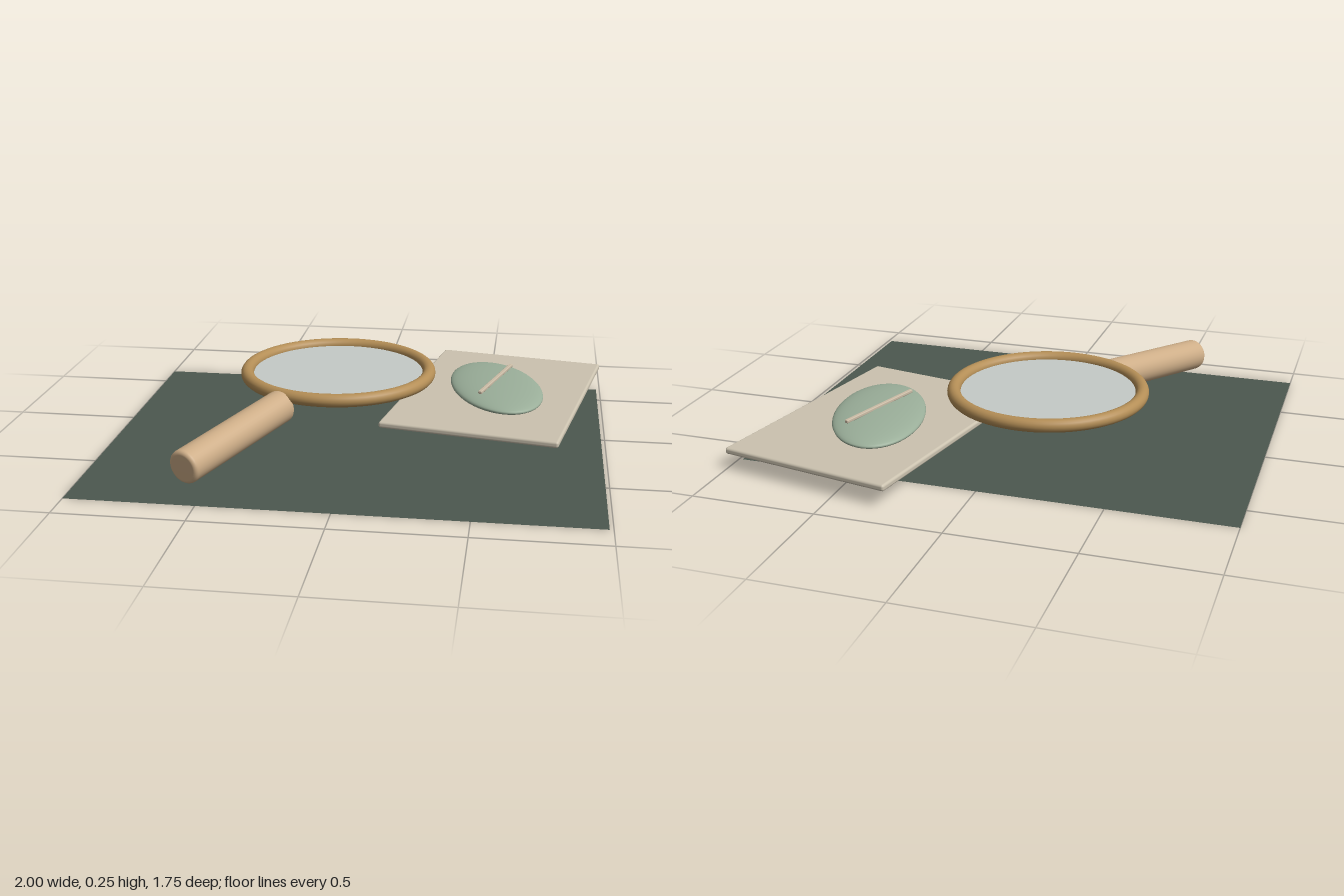
import * as THREE from 'three';
import { RoundedBoxGeometry } from 'three/addons/geometries/RoundedBoxGeometry.js';

const paint = (name, color, side = THREE.FrontSide) =>
  Object.assign(new THREE.MeshStandardMaterial({ color, side }), { name });

export function createModel() {
  const felt = paint('dark green felt', 0x4c584f, THREE.DoubleSide);
  const paper = paint('cream card', 0xcbc2af);
  const brass = paint('brass', 0xb48e56);
  const wood = paint('light wood', 0xcdad87);
  const glass = paint('pale glass', 0xc5cac7, THREE.DoubleSide);
  const leaf = paint('sage green', 0x9aae99);
  const vein = paint('pale vein', 0xcbbca6);

  const model = new THREE.Group();
  model.name = 'magnifierStillLife';
  const add = (name, geometry, material, x, y, z, turn = 0) => {
    const mesh = new THREE.Mesh(geometry, material);
    mesh.name = name;
    mesh.position.set(x, y, z);
    mesh.rotation.y = turn;
    model.add(mesh);
    return mesh;
  };

  // Flat mat on the ground
  add('mat', new THREE.PlaneGeometry(1.985, 1.515).rotateX(-Math.PI / 2), felt, -0.0075, 0, 0.113);

  // Card with a domed oval specimen and a thin bar across it
  add('card', new RoundedBoxGeometry(0.739, 0.027, 1.056, 3, 0.01), paper, 0.54, 0.0785, -0.296, -0.184);
  add('oval', new THREE.SphereGeometry(1, 48, 24).scale(0.188, 0.036, 0.341), leaf, 0.54, 0.111, -0.294, 0.277);
  add('ovalBar', new RoundedBoxGeometry(0.017, 0.014, 0.413, 2, 0.004), vein, 0.538, 0.15, -0.294, -0.29);

  // Magnifier rim and lens
  add('rim', new THREE.TorusGeometry(0.383, 0.027, 20, 72).rotateX(Math.PI / 2), brass, -0.12, 0.223, -0.09);
  add('lens', new THREE.CircleGeometry(0.375, 72).rotateX(-Math.PI / 2), glass, -0.12, 0.223, -0.09);

  // Handle: a rod with rounded rims, running from the rim down to the mat
  const start = new THREE.Vector3(-0.295, 0.181, 0.256);
  const end = new THREE.Vector3(-0.558, 0.118, 0.805);
  const axis = end.clone().sub(start);
  const half = axis.length() / 2, radius = 0.067, bevel = 0.016;
  const profile = [new THREE.Vector2(0, -half)];
  for (const s of [-1, 1]) {
    for (let i = 0; i <= 4; i++) {
      const a = (s < 0 ? i - 4 : i) * Math.PI / 8;
      profile.push(new THREE.Vector2(
        radius - bevel + bevel * Math.cos(a),
        s * (half - bevel) + bevel * Math.sin(a)));
    }
  }
  profile.push(new THREE.Vector2(0, half));
  const handle = add('handle', new THREE.LatheGeometry(profile, 32), wood, 0, 0, 0);
  handle.position.copy(start).add(end).multiplyScalar(0.5);
  handle.quaternion.setFromUnitVectors(new THREE.Vector3(0, 1, 0), axis.normalize());

  return model;
}
